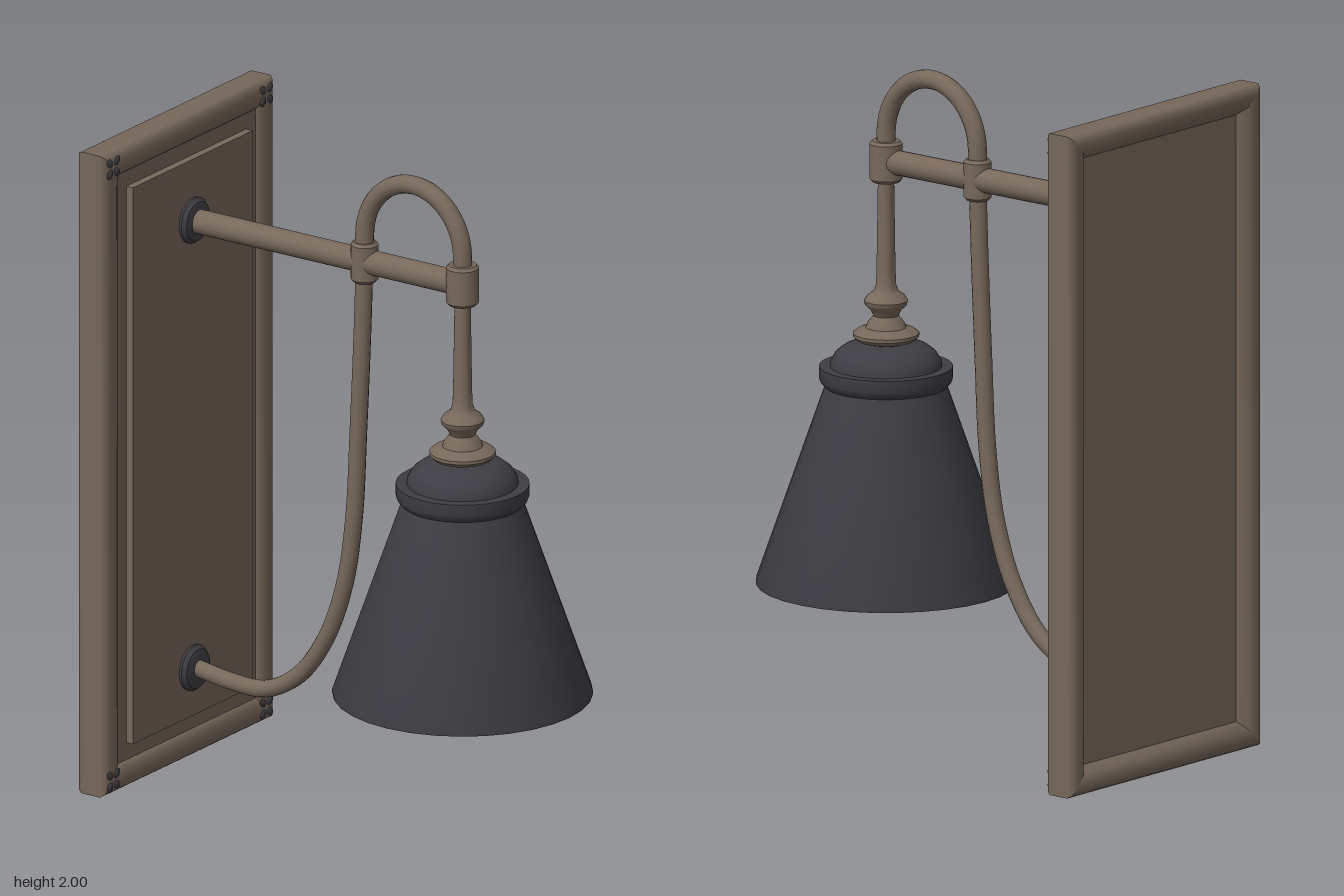
import * as THREE from 'three';
import { toCreasedNormals } from 'three/addons/utils/BufferGeometryUtils.js';

const makeMaterial = (name, color, side = THREE.FrontSide) => {
  const m = new THREE.MeshStandardMaterial({ color, side });
  m.name = name;
  return m;
};

export function createModel() {
  const bronze = makeMaterial('bronze', 0x77685a);
  const iron = makeMaterial('dark iron', 0x3e3d43, THREE.DoubleSide);
  const glass = makeMaterial('white glass', 0xe4e4e2);
  const model = new THREE.Group();
  model.name = 'wallLamp';

  const add = (name, geometry, material, x = 0, y = 0, z = 0) => {
    const mesh = new THREE.Mesh(geometry, material);
    mesh.name = name;
    mesh.position.set(x, y, z);
    model.add(mesh);
    return mesh;
  };
  // Profile pairs are [radius, height], listed from bottom to top
  const lathe = (pairs, segments = 32) => toCreasedNormals(
    new THREE.LatheGeometry(pairs.map(([r, y]) => new THREE.Vector2(r, y)), segments), 0.6);
  // Path pairs are [z, y] in the plane x = 0
  const tube = (pairs, radius) => new THREE.TubeGeometry(
    new THREE.CatmullRomCurve3(pairs.map(([z, y]) => new THREE.Vector3(0, y, z))), 64, radius, 14);

  // Moulded frame: one mitred rail per side, profile as [inset, z]
  const profile = [
    [0.087, -0.665], [0.08, -0.642], [0.06, -0.632], [0.03, -0.63], [0.008, -0.636], [0, -0.648],
    [0, -0.716], [0.008, -0.729], [0.03, -0.734], [0.06, -0.728], [0.087, -0.695],
  ];
  const HX = 0.435, HY = 1;
  const rail = (halfLength, out) => {
    const pos = [], idx = [];
    profile.forEach(([d, z], i) => {
      pos.push(-(halfLength - d), out - d, z, halfLength - d, out - d, z);
      if (i < profile.length - 1) {
        const a = 2 * i;
        idx.push(a, a + 1, a + 3, a, a + 3, a + 2);
      }
    });
    const g = new THREE.BufferGeometry();
    g.setAttribute('position', new THREE.Float32BufferAttribute(pos, 3));
    g.setIndex(idx);
    return toCreasedNormals(g, 0.9);
  };
  for (let k = 0; k < 4; k++) {
    const g = k % 2 ? rail(HY, HX) : rail(HX, HY);
    add('frameRail', g, bronze, 0, 1, 0).rotation.z = k * Math.PI / 2;
  }

  // Backing board and raised front panel
  add('backBoard', new THREE.BoxGeometry(0.72, 1.85, 0.055), bronze, 0, 1, -0.6725);
  add('raisedPanel', new THREE.BoxGeometry(0.61, 1.735, 0.03), bronze, 0, 1.002, -0.636);

  // Four-petal studs on the frame corners
  for (const sx of [-1, 1]) for (const sy of [-1, 1]) for (let k = 0; k < 4; k++) {
    const a = Math.PI / 4 + k * Math.PI / 2;
    const petal = add('cornerPetal', new THREE.SphereGeometry(0.016, 10, 6), iron,
      sx * 0.39 + 0.025 * Math.cos(a), 1 + sy * 0.955 + 0.025 * Math.sin(a), -0.631);
    petal.rotation.z = a;
    petal.scale.set(1, 0.75, 0.35);
  }

  // Wall rosettes
  const rosette = lathe([[0, 0], [0.07, 0], [0.07, 0.014], [0.06, 0.026], [0.04, 0.03], [0, 0.03]], 24);
  for (const y of [1.68, 0.285]) {
    add('rosette', rosette, iron, 0, y, -0.627).rotation.x = Math.PI / 2;
  }

  // Horizontal arm, arch and lower brace
  const LZ = 0.348;
  add('arm', new THREE.CylinderGeometry(0.037, 0.037, 0.96, 20), bronze, 0, 1.68, -0.135).rotation.x = Math.PI / 2;
  const arch = [[LZ, 1.7]];
  for (let i = 0; i <= 12; i++) {
    const a = i * Math.PI / 12;
    arch.push([0.172 + 0.176 * Math.cos(a), 1.76 + 0.192 * Math.sin(a)]);
  }
  arch.push([-0.004, 1.7]);
  add('arch', tube(arch, 0.028), bronze);
  add('brace', tube([[-0.004, 1.68], [-0.012, 1.45], [-0.026, 1.15], [-0.042, 0.87], [-0.075, 0.66],
    [-0.14, 0.48], [-0.24, 0.34], [-0.36, 0.272], [-0.48, 0.27], [-0.61, 0.288]], 0.026), bronze);

  // Collars joining the arm to the vertical tubes
  const collar = (r) => lathe([[0, 1.617], [r - 0.008, 1.617], [r, 1.626], [r, 1.732], [r - 0.008, 1.741], [0, 1.741]], 24);
  add('frontCollar', collar(0.049), bronze, 0, 0, LZ);
  add('rearCollar', collar(0.041), bronze, 0, 0, -0.004);

  // Turned stem above the shade
  add('stem', lathe([
    [0, 1.13], [0.06, 1.13], [0.085, 1.138], [0.098, 1.15], [0.098, 1.16], [0.085, 1.17], [0.06, 1.177],
    [0.054, 1.192], [0.037, 1.212], [0.046, 1.23], [0.062, 1.245], [0.065, 1.258], [0.056, 1.272],
    [0.037, 1.286], [0.03, 1.305], [0.028, 1.35], [0.024, 1.62],
  ], 24), bronze, 0, 0, LZ);

  // Conical shade with stepped rim and domed cap, open below
  add('shade', lathe([
    [0.383, 0.405], [0.383, 0.415], [0.18, 1.0], [0.192, 1.012], [0.197, 1.025], [0.197, 1.06],
    [0.165, 1.06], [0.163, 1.075], [0.15, 1.098], [0.125, 1.118], [0.1, 1.128], [0, 1.13],
  ], 32), iron, 0, 0, LZ);

  // Bulb and its socket inside the shade
  add('bulb', lathe([
    [0, 0.43], [0.045, 0.436], [0.09, 0.456], [0.13, 0.491], [0.157, 0.535], [0.17, 0.6], [0.16, 0.658],
    [0.133, 0.715], [0.095, 0.775], [0.065, 0.83], [0.055, 0.88],
  ], 28), glass, 0, 0, LZ);
  add('socket', new THREE.CylinderGeometry(0.06, 0.06, 0.27, 20), iron, 0, 0.99, LZ);

  return model;
}
